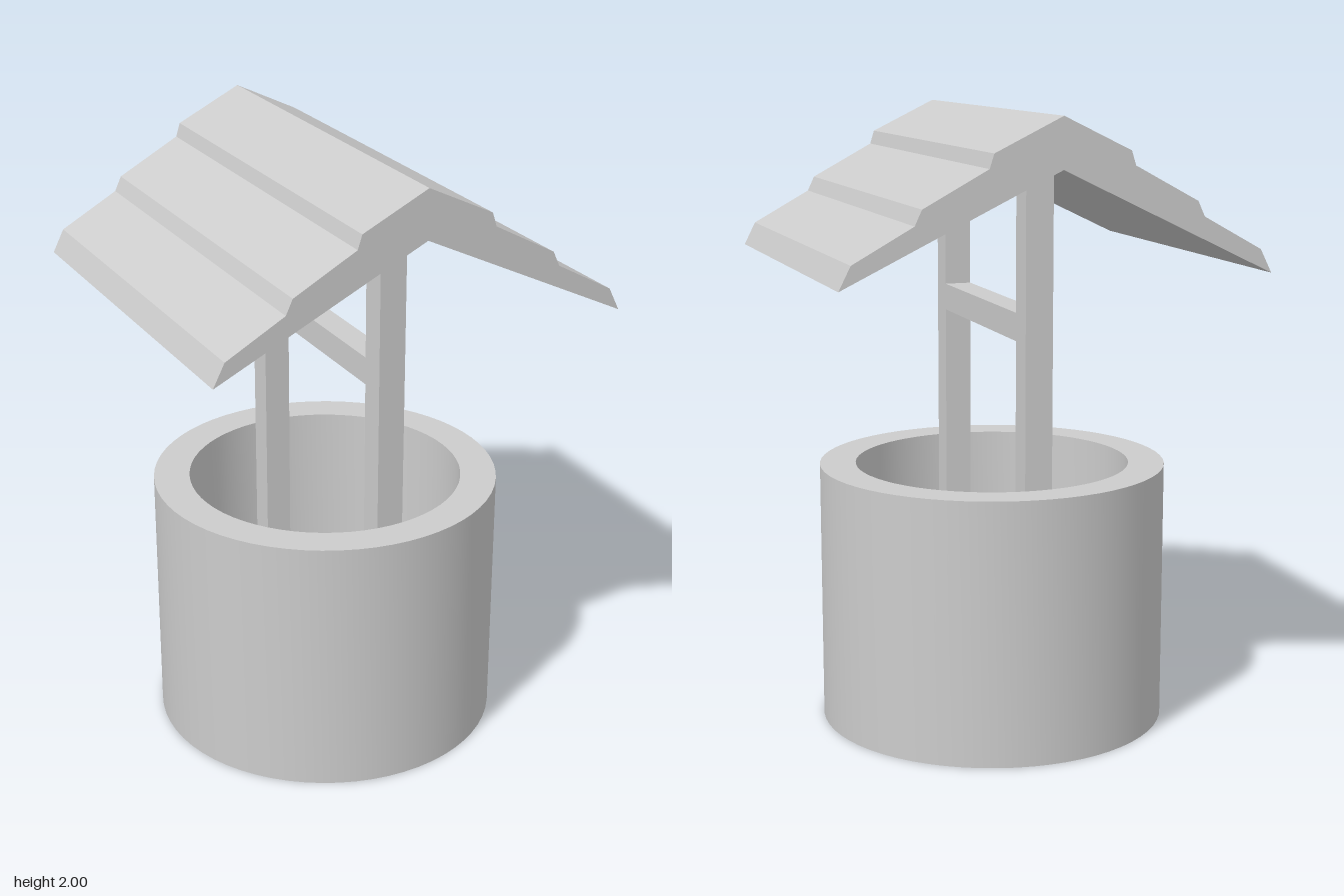
import * as THREE from 'three';
import { toCreasedNormals } from 'three/addons/utils/BufferGeometryUtils.js';

const OUTER = 0.565, INNER = 0.448, WALL_TOP = 0.85;
const POST = 0.088, POST_Z = 0.4, POST_TOP = 1.84;
const ROOF_HALF_DEPTH = 0.64;

export function createModel() {
  const model = new THREE.Group();
  model.name = 'well';
  const solid = new THREE.MeshStandardMaterial({ color: 0xcccccc });
  const open = new THREE.MeshStandardMaterial({ color: 0xcccccc, side: THREE.DoubleSide });

  const add = (name, geometry, material = solid) => {
    const mesh = new THREE.Mesh(geometry, material);
    mesh.name = name;
    model.add(mesh);
    return mesh;
  };

  // Round wall: outer skin, flat rim and inner skin, hollow underneath
  const profile = [[OUTER, 0], [OUTER, WALL_TOP], [INNER, WALL_TOP], [INNER, 0]]
    .map(([r, y]) => new THREE.Vector2(r, y));
  add('wall', toCreasedNormals(new THREE.LatheGeometry(profile, 64), 0.6), open);

  // Floor closing the shaft
  add('floor', new THREE.CircleGeometry(INNER, 64).rotateX(-Math.PI / 2), open);

  // Two posts standing in the shaft, reaching up to the ridge
  for (const [name, side] of [['frontPost', 1], ['backPost', -1]]) {
    add(name, new THREE.BoxGeometry(POST, POST_TOP, POST))
      .position.set(0, POST_TOP / 2, side * POST_Z);
  }

  // Crossbar between the posts
  add('crossbar', new THREE.BoxGeometry(POST, POST, 2 * POST_Z - POST))
    .position.set(0, 1.348, 0);

  // Stepped gable roof: half of the top outline, mirrored, then the underside peak
  const half = [[0.675, 1.52], [0.638, 1.593], [0.45, 1.697], [0.428, 1.744], [0.226, 1.853], [0.212, 1.897]];
  const mirrored = half.map(([x, y]) => [-x, y]).reverse();
  const outline = [...half, [0, 2], ...mirrored, [0, 1.845]]
    .map(([x, y]) => new THREE.Vector2(x, y));
  const roof = new THREE.ExtrudeGeometry(new THREE.Shape(outline), {
    depth: 2 * ROOF_HALF_DEPTH, bevelEnabled: false,
  });
  add('roof', roof.translate(0, 0, -ROOF_HALF_DEPTH));

  return model;
}
